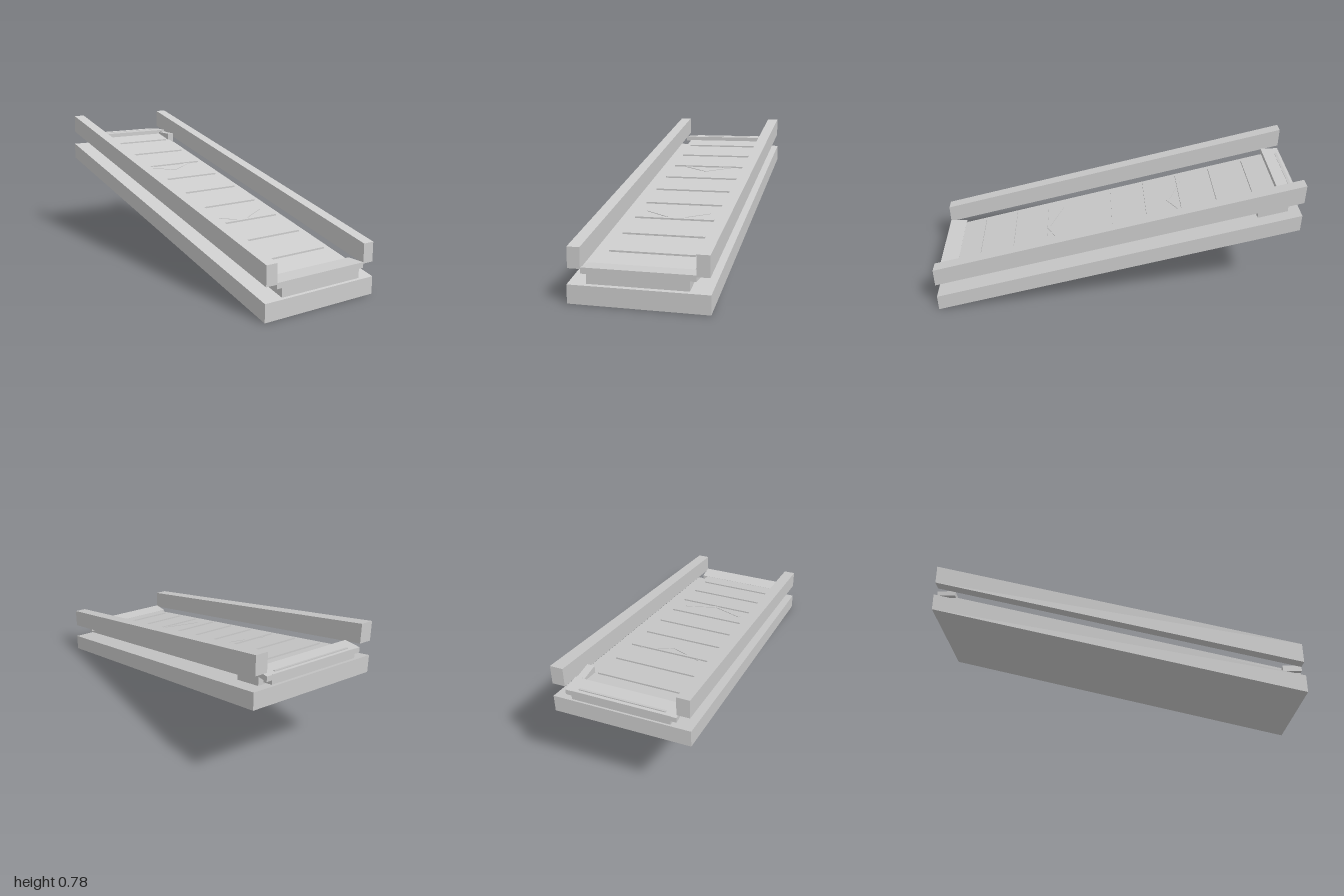
import * as THREE from 'three';

const SLOPE = 0.25; // rise per unit of run towards -z
const MID = 0.25; // lift of the slope at z = 0

export function createModel() {
  const group = new THREE.Group();
  const mat = new THREE.MeshStandardMaterial({ color: 0xcccccc, flatShading: true });
  const shear = new THREE.Matrix4().set(
    1, 0, 0, 0,
    0, 1, -SLOPE, MID,
    0, 0, 1, 0,
    0, 0, 0, 1);

  const add = (name, geometry) => {
    const mesh = new THREE.Mesh(geometry, mat);
    mesh.name = name;
    group.add(mesh);
    return mesh;
  };
  // Box given by its extents
  const box = (x0, x1, y0, y1, z0, z1) =>
    new THREE.BoxGeometry(x1 - x0, y1 - y0, z1 - z0)
      .translate((x0 + x1) / 2, (y0 + y1) / 2, (z0 + z1) / 2);
  // Box that follows the slope; its y extents are those at z = 1
  const sloped = (...e) => box(...e).applyMatrix4(shear);

  // Base slab, belt and side rails
  add('base', sloped(-0.35, 0.35, 0, 0.093, -1, 1));
  add('belt', sloped(-0.25, 0.25, 0.103, 0.154, -1, 1));
  add('leftRail', sloped(0.28, 0.345, 0.172, 0.276, -1, 1));
  add('rightRail', sloped(-0.345, -0.28, 0.172, 0.276, -1, 1));

  // Level end plates
  add('lowerEndPlate', box(-0.28, 0.28, 0.15, 0.18, 0.9, 1));
  add('upperEndPlate', box(-0.28, 0.28, 0.625, 0.653, -1, -0.9));

  // Drive box and its cap beside the upper end
  add('driveBox', box(0.24, 0.28, 0.537, 0.64, -0.94, -0.78));
  add('driveCap', box(0.25, 0.28, 0.638, 0.645, -0.94, -0.88));

  // Cleats across the belt
  for (let i = 0; i < 10; i++) {
    const z = 0.775 - i * 0.1945;
    add('cleat', sloped(-0.22, 0.22, 0.15, 0.163, z - 0.007, z + 0.007));
  }

  // Rollers showing just below the belt
  for (let i = 0; i < 10; i++) {
    const z = 0.98 - i * 0.203;
    const roller = add('roller', new THREE.CylinderGeometry(0.02, 0.02, 0.48, 12).rotateZ(Math.PI / 2));
    roller.position.set(0, 0.117 + MID - SLOPE * z, z);
  }

  // Raised V marks on the belt
  const addChevron = (tip, halfWidth, depth) => {
    const w = 0.022;
    const shape = new THREE.Shape();
    shape.moveTo(0, -tip);
    shape.lineTo(halfWidth, depth - tip);
    shape.lineTo(halfWidth - 0.01, depth - tip + w * 0.7);
    shape.lineTo(0, w - tip);
    shape.lineTo(0.01 - halfWidth, depth - tip + w * 0.7);
    shape.lineTo(-halfWidth, depth - tip);
    const geo = new THREE.ExtrudeGeometry(shape, { depth: 0.006, bevelEnabled: false });
    geo.rotateX(-Math.PI / 2).translate(0, 0.151, 0).applyMatrix4(shear);
    add('chevron', geo);
  };
  addChevron(-0.31, 0.175, 0.085);
  addChevron(0.385, 0.18, 0.085);

  return group;
}
